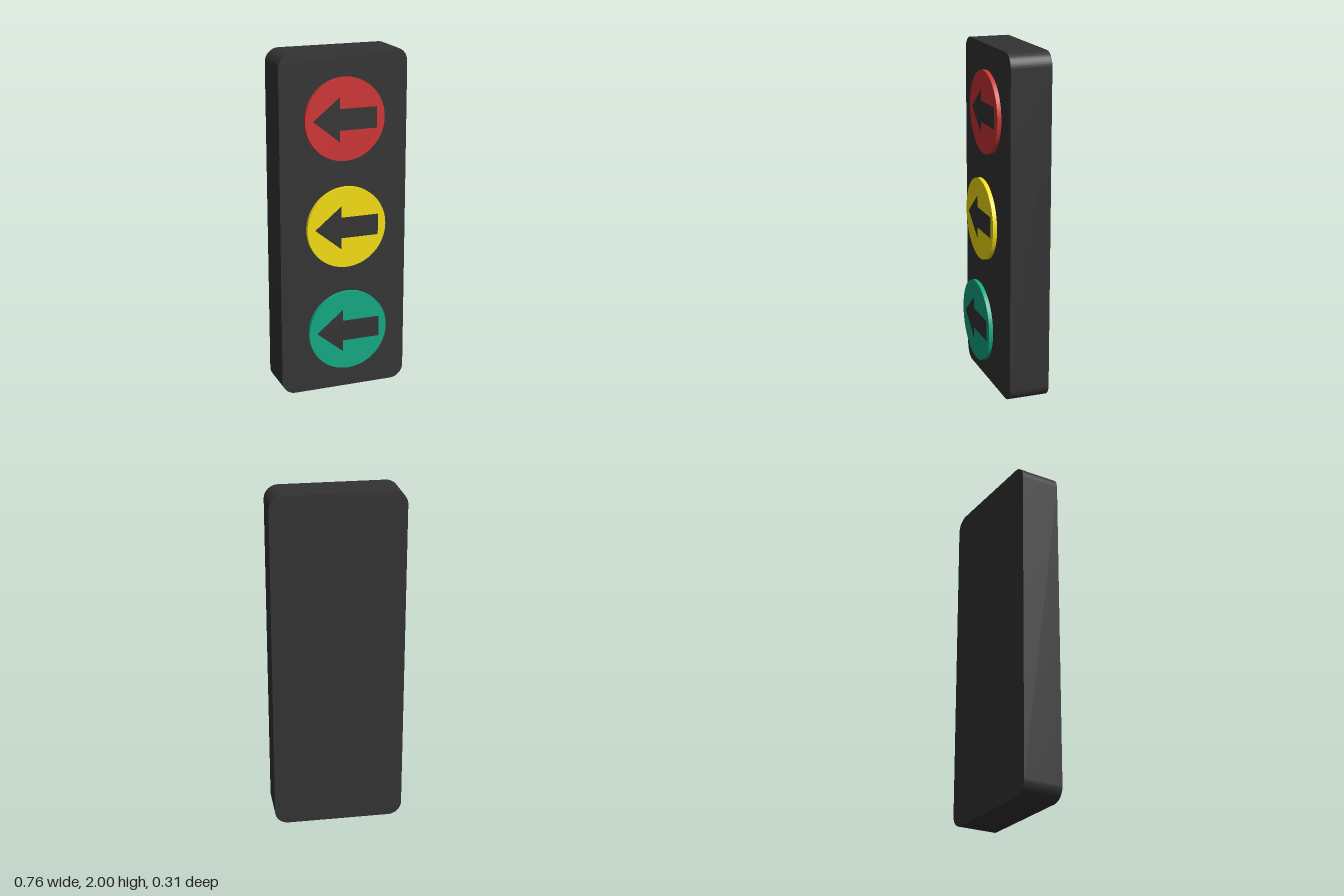
import * as THREE from 'three';
import { toCreasedNormals } from 'three/addons/utils/BufferGeometryUtils.js';

const HALF_WIDTH = 0.38, HEIGHT = 2, CORNER = 0.08;
const BACK = -0.156, FRONT = 0.08;
const LENS_RADIUS = 0.237, LENS_DEPTH = 0.0235;

function mesh(name, geometry, color) {
  const m = new THREE.Mesh(geometry, new THREE.MeshStandardMaterial({ color }));
  m.name = name;
  return m;
}

// Upright panel with rounded corners and sharp front and back edges
function createHousing() {
  const w = HALF_WIDTH, h = HEIGHT, r = CORNER;
  const s = new THREE.Shape();
  s.moveTo(-w + r, 0);
  s.lineTo(w - r, 0);
  s.absarc(w - r, r, r, -Math.PI / 2, 0);
  s.lineTo(w, h - r);
  s.absarc(w - r, h - r, r, 0, Math.PI / 2);
  s.lineTo(-w + r, h);
  s.absarc(-w + r, h - r, r, Math.PI / 2, Math.PI);
  s.lineTo(-w, r);
  s.absarc(-w + r, r, r, Math.PI, Math.PI * 1.5);
  const geometry = new THREE.ExtrudeGeometry(s, { depth: FRONT - BACK, bevelEnabled: false, curveSegments: 12 });
  geometry.translate(0, 0, BACK);
  return mesh('housing', toCreasedNormals(geometry, 0.6), 0x333333);
}

// Dark arrow pointing to -x, barely proud of its lens
function createArrow() {
  const points = [[-0.19, 0], [-0.033, -0.127], [-0.033, -0.061], [0.19, -0.061],
    [0.19, 0.061], [-0.033, 0.061], [-0.033, 0.127]];
  const shape = new THREE.Shape(points.map(([x, y]) => new THREE.Vector2(x, y)));
  const geometry = new THREE.ExtrudeGeometry(shape, { depth: 0.01, bevelEnabled: false });
  geometry.translate(0, 0, LENS_DEPTH - 0.0085);
  return mesh('arrow', geometry, 0x333333);
}

// Coloured disc with its arrow; the back of the disc lies at z = 0
function createLight(name, color) {
  const light = new THREE.Group();
  light.name = name;
  const disc = new THREE.CylinderGeometry(LENS_RADIUS, LENS_RADIUS, LENS_DEPTH, 64);
  disc.rotateX(Math.PI / 2).translate(0, 0, LENS_DEPTH / 2);
  light.add(mesh('lens', disc, color), createArrow());
  return light;
}

export function createModel() {
  const model = new THREE.Group();
  model.name = 'trafficLight';
  model.add(createHousing());

  // Each lower light stands a little further forward
  const lights = [
    ['redLight', 0xcc3333, 1.62, 0.081],
    ['yellowLight', 0xf2dc10, 1.0, 0.1065],
    ['greenLight', 0x12a780, 0.383, 0.131],
  ];
  for (const [name, color, y, z] of lights) {
    const light = createLight(name, color);
    light.position.set(0, y, z);
    model.add(light);
  }
  return model;
}
